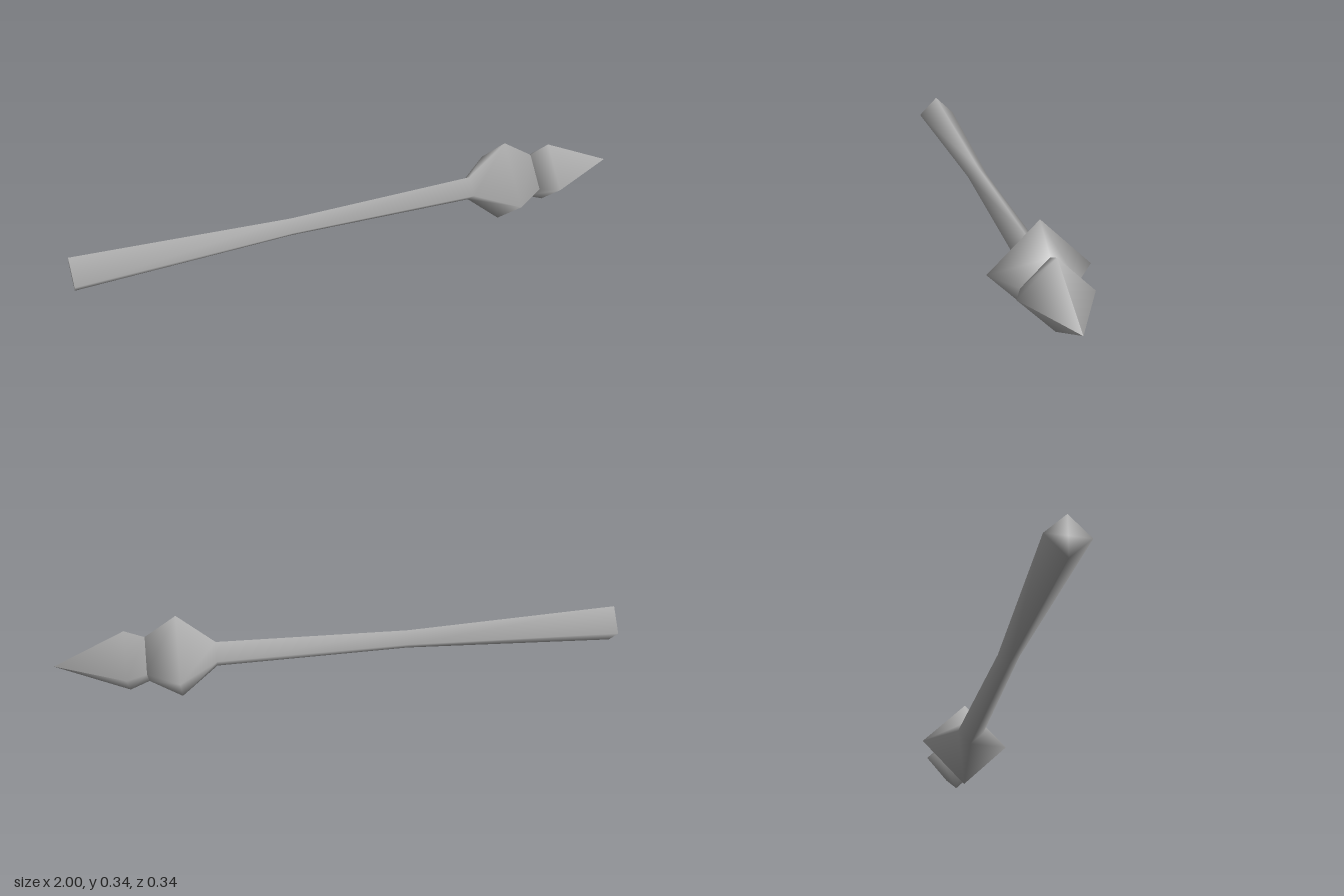
import * as THREE from 'three';

const AXIS_Y = 0.169; // height of the long axis

// Four-sided smooth solid along x from [x, radius] pairs, corners up, down, front and back
function diamondLathe(name, profile, material) {
  const points = profile.map(([x, r]) => new THREE.Vector2(r, x));
  const geometry = new THREE.LatheGeometry(points, 4);
  geometry.rotateZ(-Math.PI / 2);
  const mesh = new THREE.Mesh(geometry, material);
  mesh.name = name;
  mesh.position.y = AXIS_Y;
  return mesh;
}

export function createModel() {
  const group = new THREE.Group();
  group.name = 'spear';

  const grey = new THREE.MeshStandardMaterial({ color: 0xb4b4b4 });
  grey.name = 'plain grey';

  // Flared handle, narrow waist and wide collar
  group.add(diamondLathe('shaftAndCollar', [
    [-1, 0], [-1, 0.072], [-0.24, 0.037], [0.44, 0.05],
    [0.57, 0.169], [0.685, 0.09], [0.685, 0],
  ], grey));

  // Pointed head seated in the collar
  group.add(diamondLathe('pointedHead', [
    [0.68, 0], [0.68, 0.092], [0.75, 0.123], [1, 0],
  ], grey));

  return group;
}
